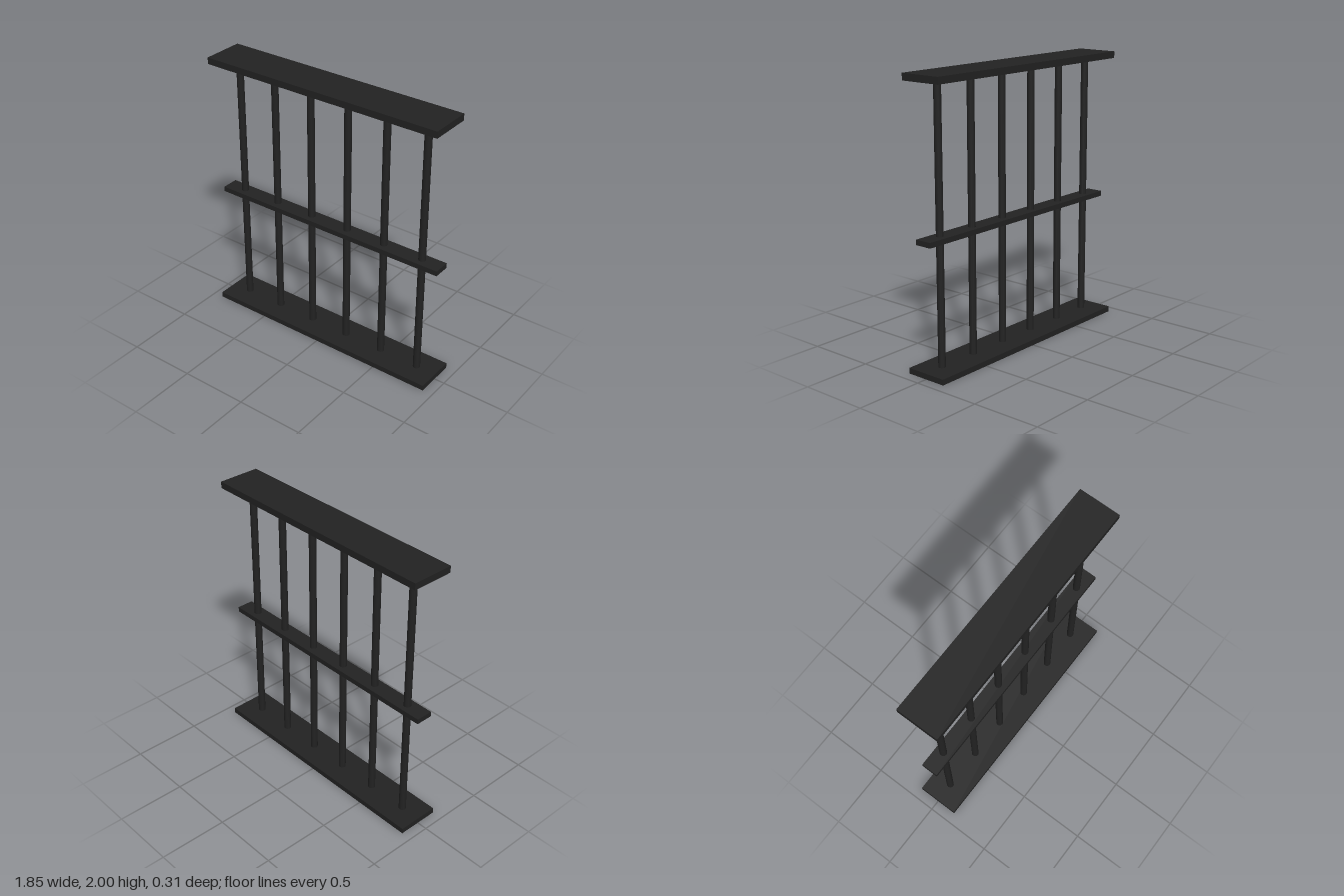
import * as THREE from 'three';

export function createModel() {
  const group = new THREE.Group();
  group.name = 'barredPanel';
  const iron = new THREE.MeshStandardMaterial({ color: 0x222222 });
  iron.name = 'dark iron';

  const add = (name, geometry, x, y) => {
    const mesh = new THREE.Mesh(geometry, iron);
    mesh.name = name;
    mesh.position.set(x, y, 0);
    group.add(mesh);
  };

  // Horizontal rails: name, bottom, top, depth
  const rails = [
    ['bottomRail', 0, 0.04, 0.308],
    ['middleRail', 0.905, 0.942, 0.124],
    ['topRail', 1.952, 2, 0.308],
  ];
  for (const [name, low, high, depth] of rails) {
    add(name, new THREE.BoxGeometry(1.846, high - low, depth), 0, (low + high) / 2);
  }

  // Six evenly spaced upright bars, ends set into the rails
  const bar = new THREE.CylinderGeometry(0.026, 0.026, 1.94, 12);
  for (let i = 0; i < 6; i++) {
    add(`bar${i + 1}`, bar, (i - 2.5) * 0.308, 1);
  }

  return group;
}
